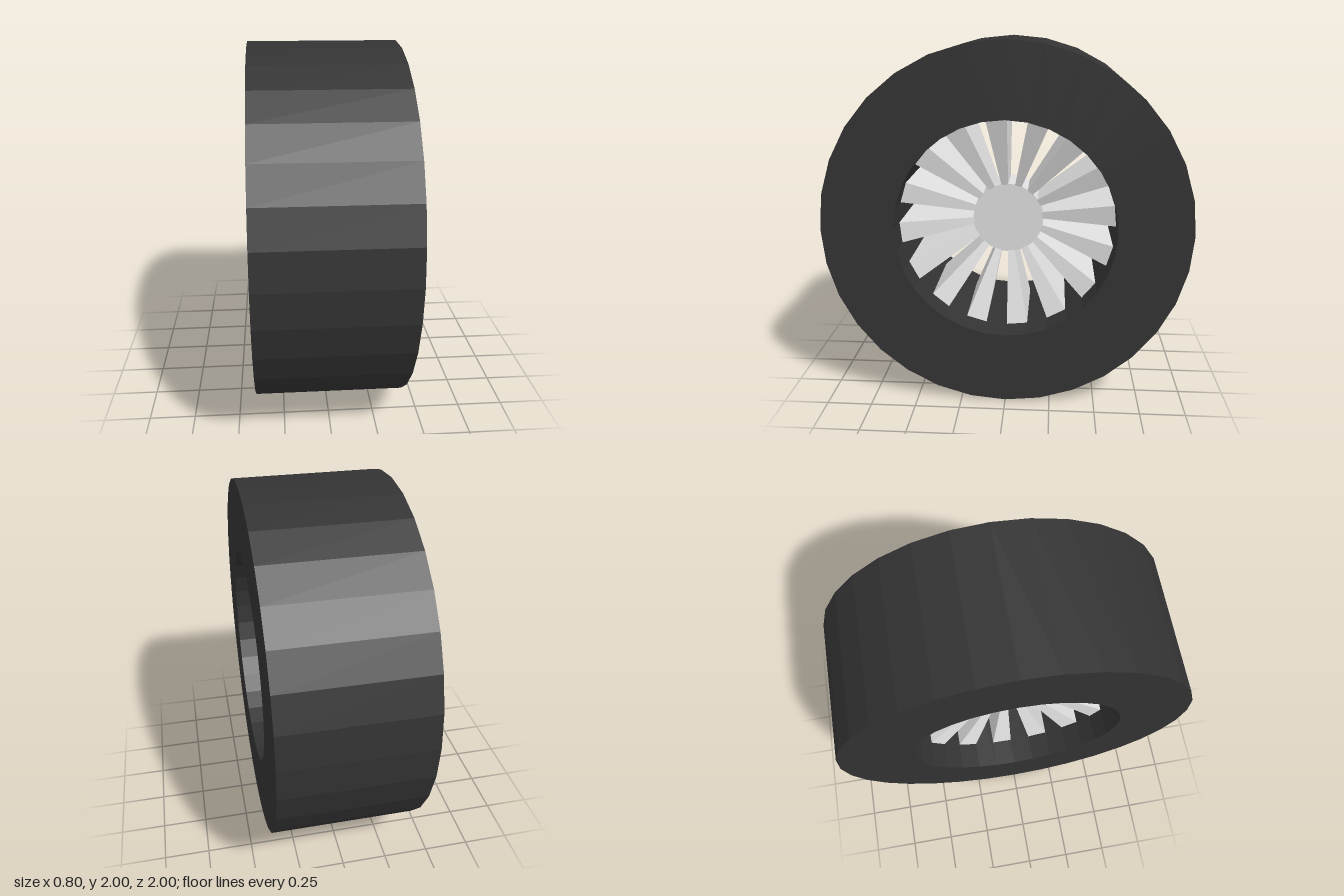
import * as THREE from 'three';

const SIDES = 32;
const STEP = (Math.PI * 2) / SIDES;
const HUB_RADIUS = 0.2, RIM_RADIUS = 0.6, TYRE_RADIUS = 1;
const HUB_HALF = 0.12, RIM_HALF = 0.25, TYRE_HALF = 0.4;

const rubber = new THREE.MeshStandardMaterial({ color: 0x333333, flatShading: true });
rubber.name = 'dark rubber';
const metal = new THREE.MeshStandardMaterial({ color: 0xdddddd, flatShading: true });
metal.name = 'pale metal';

// Wedge between hub and rim: one facet wide, deeper at the rim than at the hub
function spokeGeometry() {
  const geo = new THREE.BoxGeometry(1, 1, 1);
  const p = geo.attributes.position;
  for (let i = 0; i < p.count; i++) {
    const outer = p.getY(i) > 0;
    const r = outer ? RIM_RADIUS + 0.004 : HUB_RADIUS - 0.004;
    const half = outer ? RIM_HALF : HUB_HALF;
    const t = Math.PI / 2 + STEP * (p.getZ(i) + 0.5);
    p.setXYZ(i, Math.sign(p.getX(i)) * half, r * Math.sin(t), -r * Math.cos(t));
  }
  geo.computeVertexNormals();
  return geo;
}

export function createModel() {
  const wheel = new THREE.Group();
  wheel.name = 'wheel';
  wheel.position.y = TYRE_RADIUS;

  // Tyre: square-section ring around the x axis
  const profile = [
    [RIM_RADIUS, -TYRE_HALF], [TYRE_RADIUS, -TYRE_HALF],
    [TYRE_RADIUS, TYRE_HALF], [RIM_RADIUS, TYRE_HALF], [RIM_RADIUS, -TYRE_HALF],
  ].map(([r, h]) => new THREE.Vector2(r, h));
  const tyre = new THREE.Mesh(new THREE.LatheGeometry(profile, SIDES).rotateZ(Math.PI / 2), rubber);
  tyre.name = 'tyre';

  // Hub
  const hub = new THREE.Mesh(
    new THREE.CylinderGeometry(HUB_RADIUS, HUB_RADIUS, HUB_HALF * 2, SIDES).rotateZ(Math.PI / 2), metal);
  hub.name = 'hub';
  wheel.add(tyre, hub);

  // Spokes on every other facet
  const spokeGeo = spokeGeometry();
  for (let i = 0; i < SIDES / 2; i++) {
    const spoke = new THREE.Mesh(spokeGeo, metal);
    spoke.name = 'spoke';
    spoke.rotation.x = i * 2 * STEP;
    wheel.add(spoke);
  }

  const model = new THREE.Group();
  model.add(wheel);
  return model;
}
